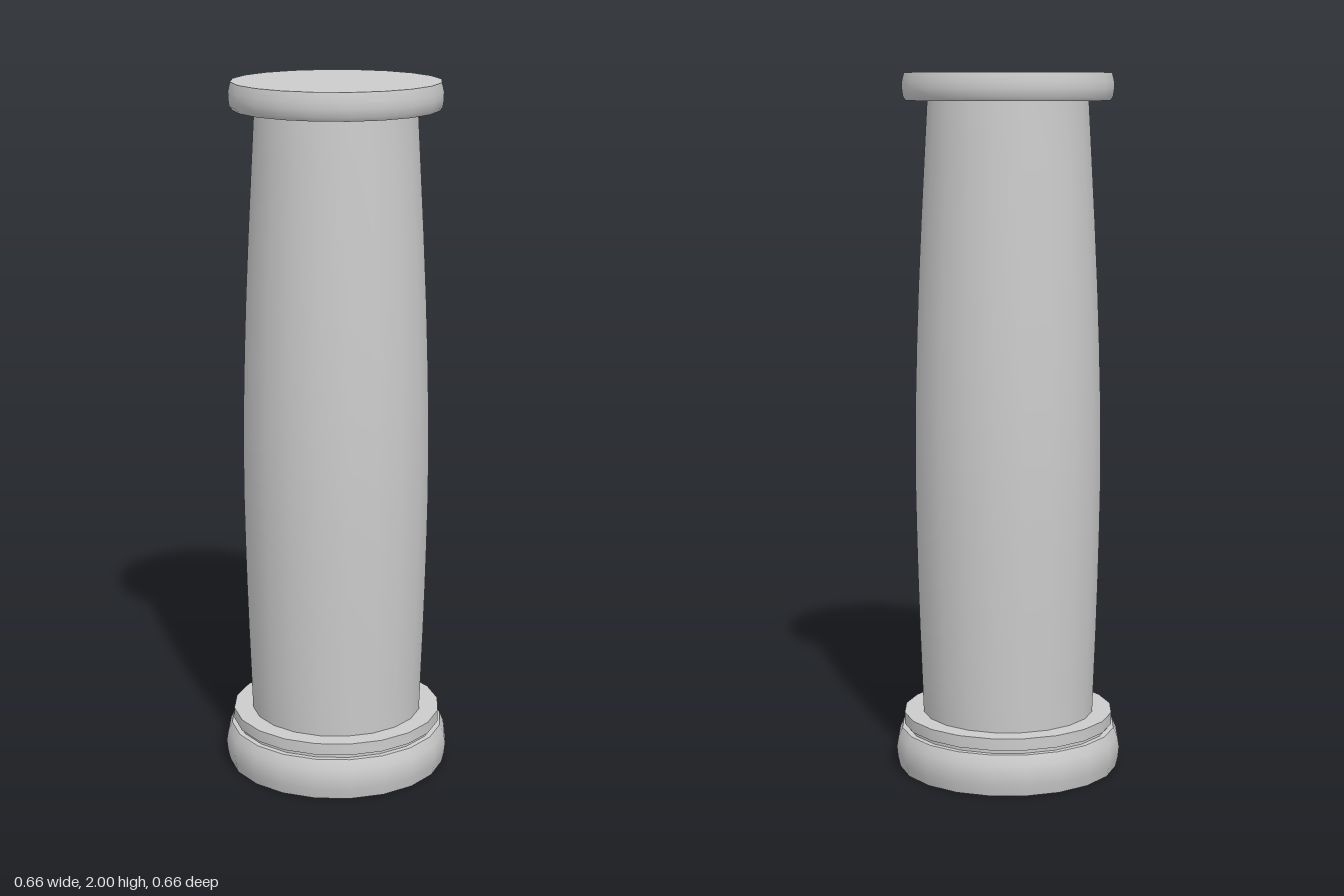
import * as THREE from 'three';
import { toCreasedNormals } from 'three/addons/utils/BufferGeometryUtils.js';

const SIDES = 20;
const material = new THREE.MeshStandardMaterial({ color: 0xcccccc });

// Turned part from [radius, height] pairs, listed from bottom to top
function turned(name, profile) {
  const points = profile.map(([r, y]) => new THREE.Vector2(r, y));
  const geometry = toCreasedNormals(new THREE.LatheGeometry(points, SIDES), 0.6);
  const mesh = new THREE.Mesh(geometry, material);
  mesh.name = name;
  return mesh;
}

export function createModel() {
  const column = new THREE.Group();
  column.name = 'column';

  // Rounded foot, closed below
  column.add(turned('base', [
    [0, 0], [0.318, 0], [0.325, 0.03], [0.328, 0.06], [0.323, 0.09], [0.311, 0.117], [0, 0.117],
  ]));

  // Recessed neck and the flat ring above it
  column.add(turned('baseRing', [
    [0.295, 0.115], [0.295, 0.128], [0.304, 0.128], [0.304, 0.162], [0, 0.162],
  ]));

  // Shaft swelling towards the middle
  const swell = new THREE.SplineCurve([
    [0.248, 0.16], [0.262, 0.55], [0.268, 0.95], [0.256, 1.4], [0.228, 1.93],
  ].map(([r, y]) => new THREE.Vector2(r, y)));
  column.add(turned('shaft', swell.getPoints(12).map((p) => [p.x, p.y])));

  // Capital disc with softened rims
  column.add(turned('capital', [
    [0, 1.923], [0.288, 1.923], [0.296, 1.934], [0.299, 1.955], [0.299, 1.975], [0.293, 2], [0, 2],
  ]));

  return column;
}
